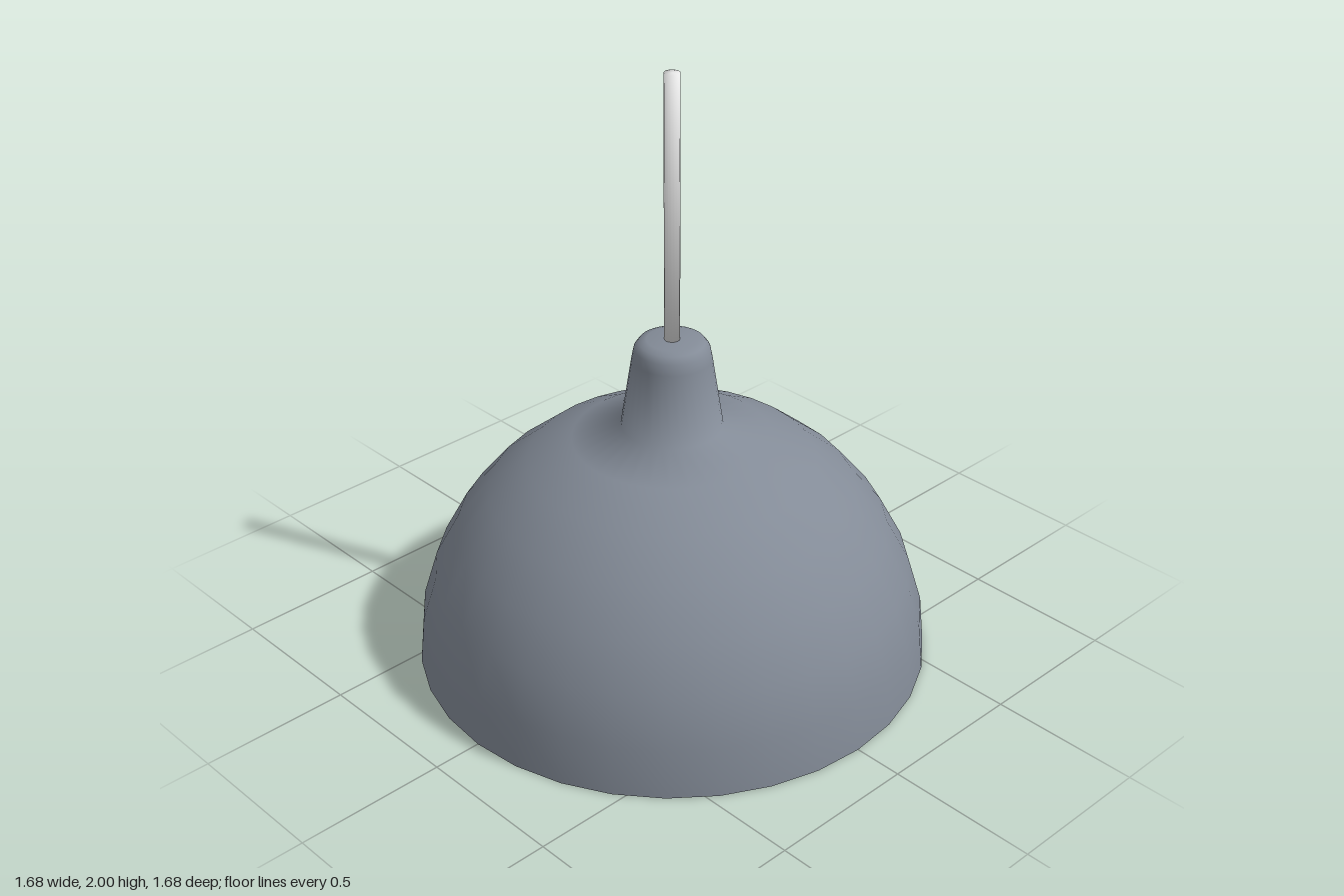
import * as THREE from 'three';

const SEGMENTS = 32;

export function createModel() {
  const group = new THREE.Group();
  group.name = 'pendantLamp';

  const shadeGrey = new THREE.MeshStandardMaterial({ color: 0x838b97 });
  shadeGrey.name = 'shadeGrey';
  const cableWhite = new THREE.MeshStandardMaterial({ color: 0xe8e8e8 });
  cableWhite.name = 'cableWhite';
  const bulbYellow = new THREE.MeshStandardMaterial({ color: 0xe0d650 });
  bulbYellow.name = 'bulbYellow';

  // Turns a profile of [radius, height] points around the y axis.
  // Normals blend the two neighbouring profile edges equally, whatever their length.
  const lathe = (name, points, material, segments = SEGMENTS) => {
    const profile = points.map(([r, y]) => new THREE.Vector2(r, y));
    const edges = profile.slice(1).map((p, i) =>
      new THREE.Vector2(p.y - profile[i].y, profile[i].x - p.x).normalize());
    const normals = profile.map((p, i) =>
      new THREE.Vector2().add(edges[Math.max(i - 1, 0)])
        .add(edges[Math.min(i, edges.length - 1)]).normalize());
    const geometry = new THREE.LatheGeometry(profile, segments);
    const attribute = geometry.attributes.normal;
    for (let i = 0; i < attribute.count; i++) {
      const n = normals[i % profile.length];
      const phi = (Math.floor(i / profile.length) / segments) * Math.PI * 2;
      attribute.setXYZ(i, n.x * Math.sin(phi), n.y, n.x * Math.cos(phi));
    }
    const mesh = new THREE.Mesh(geometry, material);
    mesh.name = name;
    group.add(mesh);
  };

  // Points on a circular dome section, from one angle to another
  const arc = (radius, from, to, steps) =>
    Array.from({ length: steps + 1 }, (_, i) => {
      const a = from + ((to - from) * i) / steps;
      return [radius * Math.cos(a), radius * Math.sin(a)];
    });

  // Outer dome flowing smoothly into the tapered neck
  const step = Math.PI / 16;
  lathe('shadeOuter', [
    ...arc(0.838, 0, 7 * step, 7),
    [0.127, 1.06], [0.12, 1.095], [0.105, 1.116], [0.08, 1.124], [0, 1.125],
  ], shadeGrey);

  // Flat rim underneath
  lathe('shadeRim', [[0.725, 0], [0.838, 0]], shadeGrey);

  // Inner dome, ending in a narrow shelf above the straight band
  const inner = arc(0.71, Math.PI / 2, 0.48, 8);
  inner[0][0] = 0;
  lathe('shadeInner', [
    ...inner, [0.645, 0.322], [0.7, 0.318], [0.71, 0.305], [0.725, 0],
  ], shadeGrey);

  // Straight cable with softly shaded ends
  lathe('cable', [[0, 1.12], [0.025, 1.12], [0.025, 2], [0, 2]], cableWhite, 16);

  // Lamp holder and bulb inside the shade
  const holder = new THREE.Mesh(new THREE.CylinderGeometry(0.08, 0.08, 0.06, 24), shadeGrey);
  holder.name = 'bulbHolder';
  holder.position.y = 0.69;
  group.add(holder);

  const bulb = new THREE.Mesh(new THREE.SphereGeometry(0.16, SEGMENTS, 16), bulbYellow);
  bulb.name = 'bulb';
  bulb.position.y = 0.535;
  group.add(bulb);

  return group;
}
